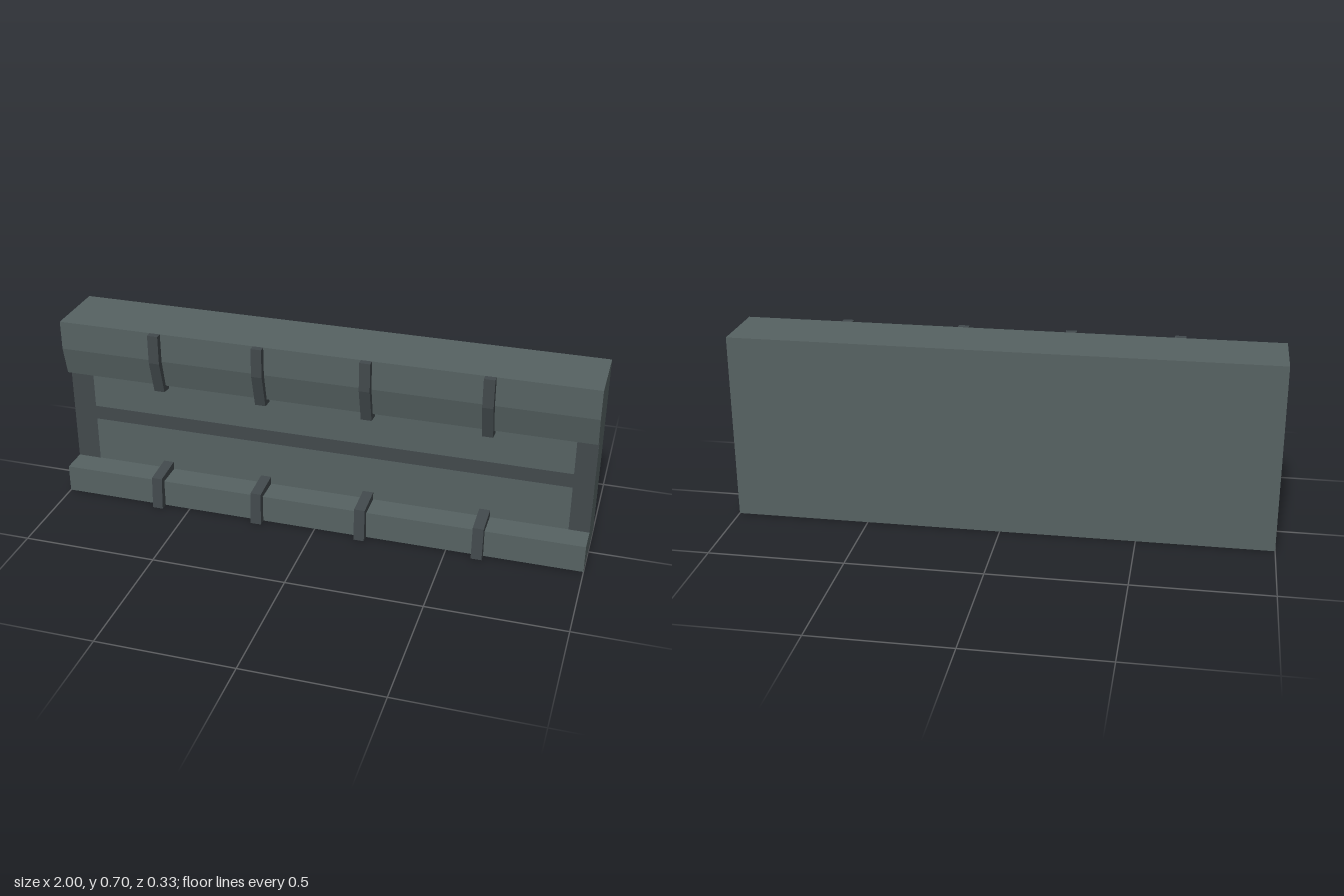
import * as THREE from 'three';

const BODY = new THREE.MeshStandardMaterial({ color: 0x566262, flatShading: true });
const TRIM = new THREE.MeshStandardMaterial({ color: 0x42494c, flatShading: true });

// Extrude a side profile of [z, y] points along x, centred on the given x
function profileBar(name, points, width, x, material) {
  const shape = new THREE.Shape(points.map(([z, y]) => new THREE.Vector2(z, y)));
  const geometry = new THREE.ExtrudeGeometry(shape, { depth: width, bevelEnabled: false });
  geometry.translate(0, 0, -width / 2).rotateY(-Math.PI / 2);
  const mesh = new THREE.Mesh(geometry, material);
  mesh.name = name;
  mesh.position.x = x;
  return mesh;
}

// Flat painted band lying on the recessed wall
function wallBand(name, x0, x1, y0, y1) {
  const mesh = new THREE.Mesh(new THREE.PlaneGeometry(x1 - x0, y1 - y0), TRIM);
  mesh.name = name;
  mesh.position.set((x0 + x1) / 2, (y0 + y1) / 2, 0.036);
  return mesh;
}

export function createModel() {
  const model = new THREE.Group();
  model.name = 'wallPanel';

  // Wall with a bottom ledge, a recess and an overhanging top
  model.add(profileBar('wallBody', [
    [-0.165, 0], [0.135, 0], [0.135, 0.105], [0.035, 0.105], [0.035, 0.48],
    [0.065, 0.48], [0.09, 0.59], [0.09, 0.7], [-0.165, 0.7],
  ], 2, 0, BODY));

  // Dark bands framing the two recessed panels
  model.add(wallBand('rightEndBand', -1, -0.91, 0.105, 0.48));
  model.add(wallBand('leftEndBand', 0.925, 1, 0.105, 0.48));
  model.add(wallBand('middleBand', -0.91, 0.925, 0.28, 0.335));

  // Ribs wrapping the overhang and the ledge
  const upperRib = [
    [0.035, 0.455], [0.081, 0.46], [0.115, 0.59], [0.115, 0.7],
    [0.09, 0.7], [0.09, 0.59], [0.065, 0.48], [0.035, 0.48],
  ];
  const lowerRib = [
    [0.135, 0], [0.165, 0], [0.157, 0.126], [0.035, 0.135],
    [0.035, 0.105], [0.135, 0.105],
  ];
  for (const x of [-0.62, -0.223, 0.178, 0.618]) {
    model.add(profileBar('upperRib', upperRib, 0.04, x, TRIM));
    model.add(profileBar('lowerRib', lowerRib, 0.04, x, TRIM));
  }
  return model;
}
